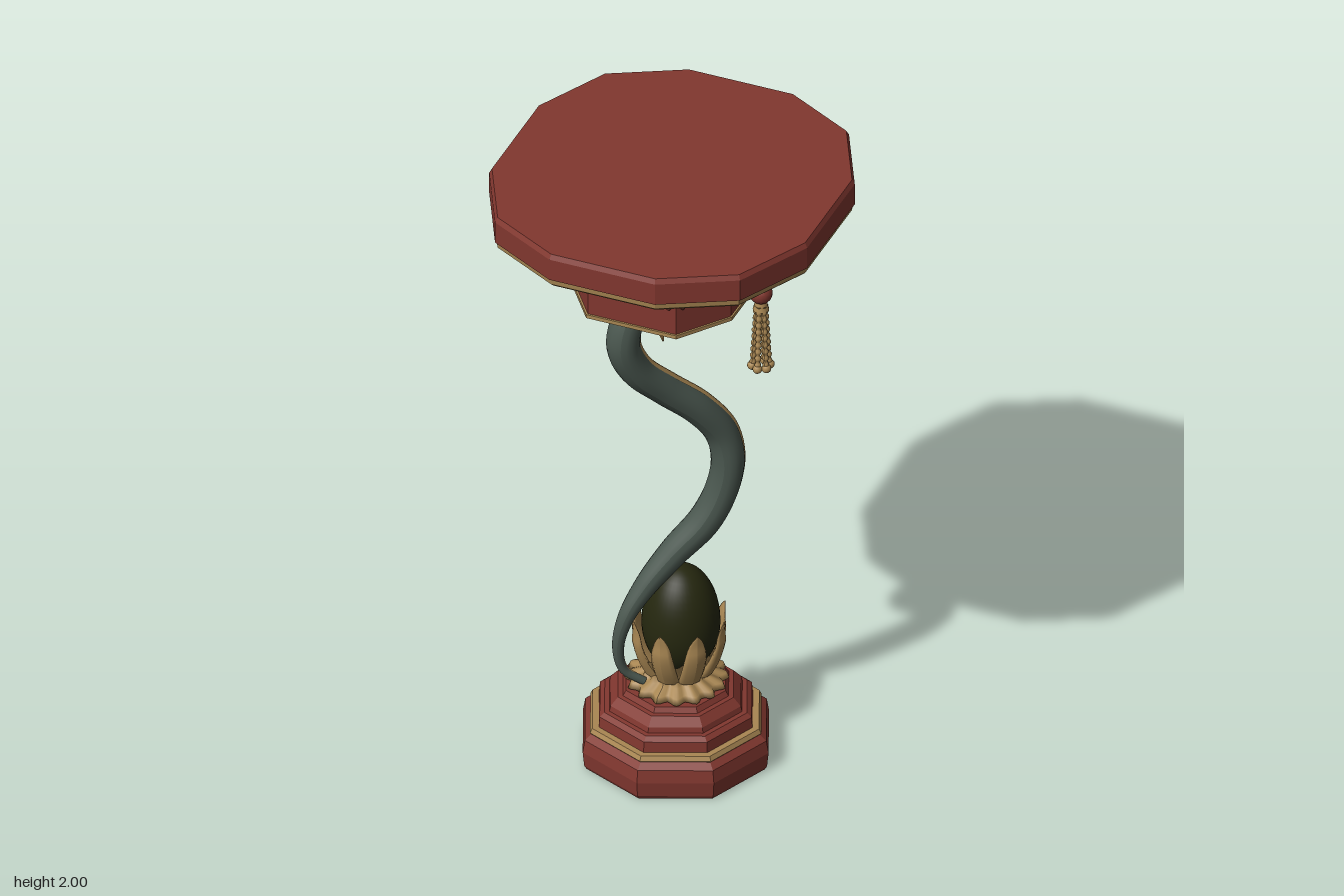
import * as THREE from 'three';

const mat = (name, color) => Object.assign(new THREE.MeshStandardMaterial({ color }), { name });
const V = (x, y, z) => new THREE.Vector3(x, y, z);

// Faceted solid from one outline [x, z] repeated at levels [y, scale]
function loft(outline, levels) {
  const pos = [], n = outline.length;
  const at = ([y, s], i) => [outline[i % n][0] * s, y, outline[i % n][1] * s];
  for (let i = 0; i < n; i++) {
    for (let k = 0; k < levels.length - 1; k++) {
      const a = at(levels[k], i), b = at(levels[k], i + 1);
      const c = at(levels[k + 1], i + 1), d = at(levels[k + 1], i);
      pos.push(...a, ...b, ...c, ...a, ...c, ...d);
    }
    const lo = levels[0], hi = levels[levels.length - 1];
    pos.push(0, lo[0], 0, ...at(lo, i + 1), ...at(lo, i));
    pos.push(0, hi[0], 0, ...at(hi, i), ...at(hi, i + 1));
  }
  const g = new THREE.BufferGeometry();
  g.setAttribute('position', new THREE.Float32BufferAttribute(pos, 3));
  g.computeVertexNormals();
  return g;
}

// Tube whose radius follows a rule along the path
function taperTube(curve, radius, n = 80, m = 14) {
  const g = new THREE.TubeGeometry(curve, n, 1, m), p = g.attributes.position, v = V();
  for (let i = 0; i <= n; i++) {
    const c = curve.getPointAt(i / n), r = radius(i / n);
    for (let j = 0; j <= m; j++) {
      const k = i * (m + 1) + j;
      v.fromBufferAttribute(p, k).sub(c).multiplyScalar(r).add(c);
      p.setXYZ(k, v.x, v.y, v.z);
    }
  }
  g.computeVertexNormals();
  return g;
}

// Mirrors a quarter outline (front to side) into a full counter-clockwise outline
function mirrored(q) {
  const r = [...q].reverse();
  return [...q, ...r.map(([x, z]) => [x, -z]), ...q.map(([x, z]) => [-x, -z]), ...r.map(([x, z]) => [-x, z])];
}

export function createModel() {
  const red = mat('red lacquer', 0x81372f), gold = mat('antique gold', 0xa98753);
  const slate = mat('slate green', 0x4b5850), dark = mat('dark egg', 0x25270f);
  const shade = mat('dark red', 0x56241f);
  const model = new THREE.Group();
  const add = (name, geo, material, parent = model, x = 0, y = 0, z = 0) => {
    const m = new THREE.Mesh(geo, material);
    m.name = name;
    m.position.set(x, y, z);
    parent.add(m);
    return m;
  };

  // Twelve-sided table top
  const top = mirrored([[0.165, 0.52], [0.383, 0.405], [0.497, 0.177]]);
  add('tableTop', loft(top, [[1.915, 1], [1.985, 1], [2, 0.985]]), red);
  add('tableTopTrim', loft(top, [[1.885, 0.965], [1.895, 0.985], [1.915, 0.99]]), gold);

  // Square cornice steps
  const box = (name, w, h, d, y, m) => add(name, new THREE.BoxGeometry(w, h, d), m, model, 0, y, 0);
  box('corniceUpper', 0.58, 0.014, 0.6, 1.879, red);
  box('corniceTrim', 0.56, 0.01, 0.58, 1.867, gold);
  box('corniceLower', 0.44, 0.03, 0.48, 1.85, red);

  // Eight-sided drum with trims and studs
  const drum = mirrored([[0.138, 0.298], [0.247, 0.15]]);
  add('drum', loft(drum, [[1.655, 1], [1.838, 1]]), red);
  add('drumTopTrim', loft(drum, [[1.832, 1.015], [1.842, 1.015]]), gold);
  add('drumBottomTrim', loft(drum, [[1.652, 1.02], [1.664, 1.02]]), gold);
  add('drumUnderside', loft(drum, [[1.649, 0.96], [1.653, 0.96]]), dark);
  add('drumUnderDisc', new THREE.CylinderGeometry(0.215, 0.215, 0.006, 32), shade, model, 0, 1.648, 0);
  const studs = new THREE.Group();
  studs.name = 'drumStuds';
  model.add(studs);
  drum.forEach(([x, z], i) => {
    const [x2, z2] = drum[(i + 1) % drum.length];
    const count = Math.round(Math.hypot(x2 - x, z2 - z) / 0.045);
    for (let k = 0; k < count; k++) {
      const t = (k + 0.5) / count;
      add('stud', new THREE.SphereGeometry(0.007, 8, 6), shade, studs, x + (x2 - x) * t, 1.75, z + (z2 - z) * t);
    }
  });

  // Eight-sided stepped base, corners on the axes
  const oct = Array.from({ length: 8 }, (_, i) => [Math.sin(i * Math.PI / 4), Math.cos(i * Math.PI / 4)]);
  const base = new THREE.Group();
  base.name = 'base';
  base.position.x = 0.012;
  model.add(base);
  add('plinth', loft(oct, [[0, 0.278], [0.012, 0.285], [0.06, 0.29], [0.1, 0.283], [0.118, 0.262]]), red, base);
  add('plinthTrim', loft(oct, [[0.116, 0.262], [0.122, 0.267], [0.136, 0.26]]), gold, base);
  add('upperSteps', loft(oct, [[0.134, 0.24], [0.17, 0.237], [0.182, 0.222], [0.183, 0.207],
    [0.2, 0.203], [0.225, 0.18], [0.226, 0.165], [0.242, 0.155]]), red, base);

  // Egg
  const egg = [];
  for (let i = 0; i <= 24; i++) {
    const a = -Math.PI / 2 + Math.PI * i / 24, s = Math.sin(a);
    egg.push(new THREE.Vector2(Math.max(0, 0.114 * Math.cos(a)), 0.45 + s * (s > 0 ? 0.19 : 0.16)));
  }
  add('egg', new THREE.LatheGeometry(egg, 40), dark, model, 0.028, 0, 0);

  // Ribbed collar under the egg
  const ring = [[0.11, 0.24], [0.142, 0.25], [0.135, 0.268], [0.1, 0.28], [0.085, 0.305], [0.1, 0.335], [0.112, 0.36]];
  const collar = new THREE.LatheGeometry(ring.map(p => new THREE.Vector2(...p)), 96);
  const cp = collar.attributes.position;
  for (let i = 0; i < cp.count; i++) {
    const s = 1 + 0.07 * Math.cos(16 * Math.atan2(cp.getX(i), cp.getZ(i)));
    cp.setX(i, cp.getX(i) * s);
    cp.setZ(i, cp.getZ(i) * s);
  }
  collar.computeVertexNormals();
  add('collar', collar, gold, model, 0.015, 0, 0);

  // Curved pointed leaves holding the egg
  const spine = new THREE.CatmullRomCurve3([V(0, 0.29, 0.085), V(0, 0.34, 0.112), V(0, 0.4, 0.132), V(0, 0.44, 0.134), V(0, 0.48, 0.142)]);
  const leaf = new THREE.CylinderGeometry(1, 1, 1, 8, 10);
  const lp = leaf.attributes.position;
  for (let i = 0; i < lp.count; i++) {
    const t = lp.getY(i) + 0.5, c = spine.getPoint(t);
    const w = 0.046 * Math.pow(Math.max(0, 1 - t), 0.75) * (0.75 + 0.9 * t) + 0.001;
    const x = lp.getX(i) * w;
    lp.setXYZ(i, x, c.y, c.z + lp.getZ(i) * (0.016 * (1 - t) + 0.002) - x * x * 4);
  }
  leaf.computeVertexNormals();
  const leaves = new THREE.Group();
  leaves.name = 'leaves';
  leaves.position.x = 0.022;
  model.add(leaves);
  for (let i = 0; i < 8; i++) add('leaf', leaf, gold, leaves).rotation.y = i * Math.PI / 4;

  // Winding stem
  const stem = new THREE.CatmullRomCurve3([
    V(-0.05, 0.275, 0.09), V(-0.1, 0.32, 0.12), V(-0.113, 0.4, 0.132), V(-0.095, 0.5, 0.12), V(-0.05, 0.6, 0.075),
    V(0.015, 0.7, 0.02), V(0.09, 0.8, -0.03), V(0.13, 0.9, -0.06), V(0.145, 1, -0.07), V(0.128, 1.1, -0.06),
    V(0.08, 1.2, -0.008), V(0.005, 1.3, 0.07), V(-0.055, 1.4, 0.145), V(-0.078, 1.5, 0.178),
    V(-0.06, 1.6, 0.155), V(-0.01, 1.66, 0.1), V(0.05, 1.7, 0.04)]);
  const girth = t => 0.012 + 0.037 * THREE.MathUtils.smoothstep(t, 0, 0.38);
  add('stem', taperTube(stem, girth, 120, 18), slate);

  // Gold belly ridge along one side of the stem
  const side = V(Math.SQRT1_2, 0, -Math.SQRT1_2), ridge = [];
  for (let i = 0; i <= 50; i++) {
    const t = i / 50, tan = stem.getTangentAt(t);
    const out = side.clone().addScaledVector(tan, -side.dot(tan)).normalize();
    ridge.push(stem.getPointAt(t).addScaledVector(out, girth(t) * 0.74));
  }
  add('bellyRidge', taperTube(new THREE.CatmullRomCurve3(ridge), t => girth(t) * 0.36, 120, 10), gold);

  // Curled leaf tip under the drum
  const curl = new THREE.CatmullRomCurve3([V(0.08, 1.68, 0.02), V(0.025, 1.625, 0.06), V(0.003, 1.55, 0.092), V(0.012, 1.48, 0.095)]);
  add('curledTip', taperTube(curl, t => 0.002 + 0.026 * Math.sin(Math.PI * Math.min(1, 0.25 + 0.75 * t)), 24, 10), gold);

  // Rosette and hanging tassel
  const tassel = new THREE.Group();
  tassel.name = 'tassel';
  tassel.position.x = 0.278;
  model.add(tassel);
  const ball = (name, r, m, x, y, z) => add(name, new THREE.SphereGeometry(r, 16, 12), m, tassel, x, y, z);
  add('rosetteRing', new THREE.TorusGeometry(0.03, 0.009, 8, 24), gold, tassel, -0.005, 1.77, 0).rotation.y = Math.PI / 2;
  add('rosetteStem', new THREE.CylinderGeometry(0.02, 0.028, 0.045, 16), gold, tassel, -0.015, 1.77, 0).rotation.z = -Math.PI / 2;
  ball('rosetteCentre', 0.02, gold, 0.013, 1.77, 0);
  add('cord', new THREE.CylinderGeometry(0.005, 0.005, 0.09, 8), gold, tassel, 0, 1.725, 0);
  ball('upperBead', 0.014, gold, 0, 1.703, 0);
  ball('tasselBall', 0.034, red, 0, 1.66, 0);
  add('tasselCap', new THREE.CylinderGeometry(0.016, 0.024, 0.03, 14), gold, tassel, 0, 1.618, 0);
  for (let i = 0; i < 6; i++) {
    const a = i * Math.PI / 3, x = Math.sin(a), z = Math.cos(a);
    const strand = new THREE.LineCurve3(V(x * 0.012, 1.62, z * 0.012), V(x * 0.024, 1.41, z * 0.024));
    add('strand', taperTube(strand, t => 0.008 + 0.0025 * Math.cos(t * 60), 36, 8), gold, tassel);
    ball('strandEnd', 0.014, gold, x * 0.026, 1.41, z * 0.026);
  }
  return model;
}
